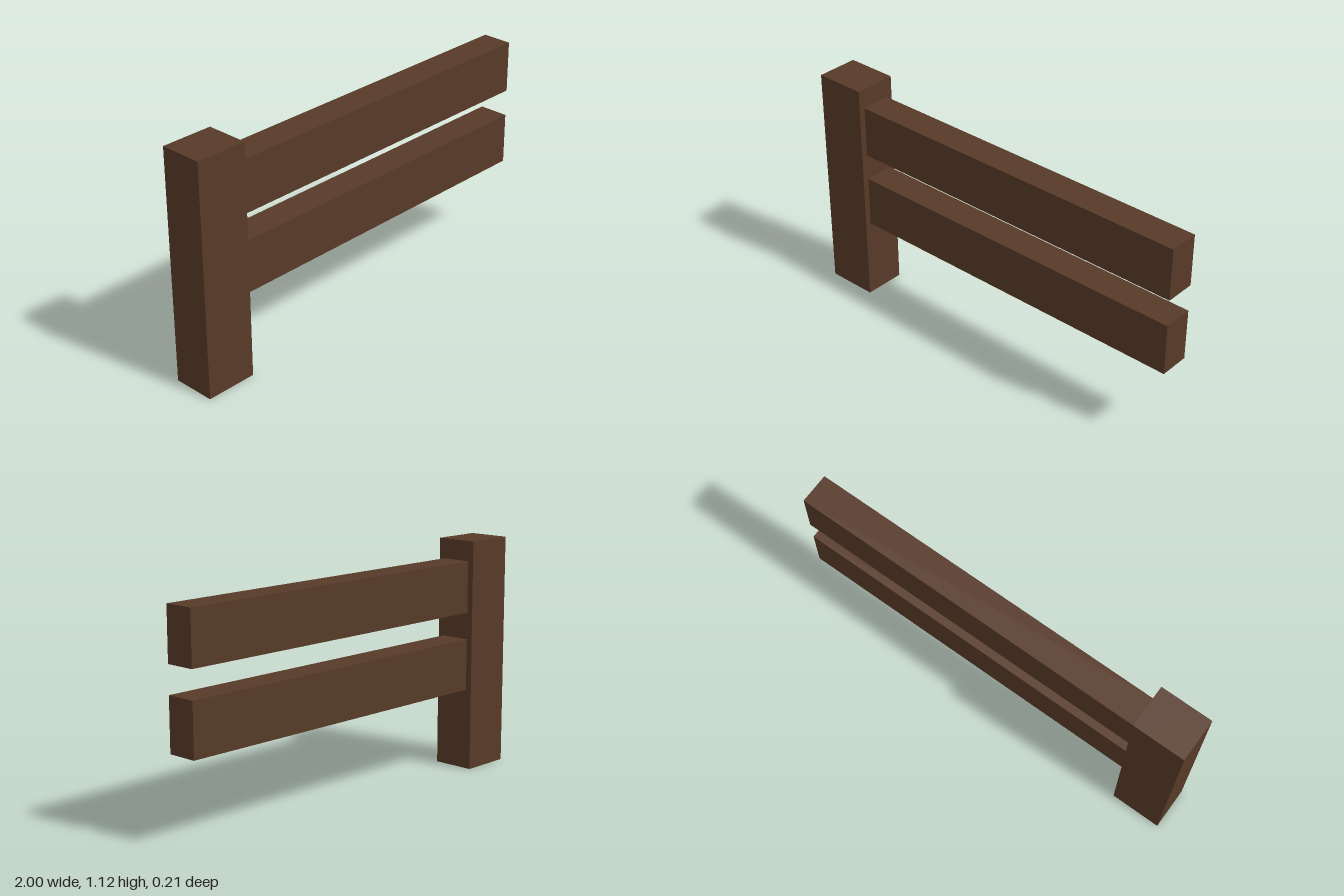
import * as THREE from 'three';

export function createModel() {
  const model = new THREE.Group();
  const wood = new THREE.MeshStandardMaterial({ color: 0x573a28, flatShading: true });

  // Box given by its x range, y range and depth
  function addBeam(name, x0, x1, y0, y1, depth) {
    const beam = new THREE.Mesh(new THREE.BoxGeometry(x1 - x0, y1 - y0, depth), wood);
    beam.name = name;
    beam.position.set((x0 + x1) / 2, (y0 + y1) / 2, 0);
    model.add(beam);
  }

  // Upright post at one end
  addBeam('post', -1, -0.75, 0, 1.122, 0.206);

  // Two rails butting against the post
  addBeam('lowerRail', -0.75, 1, 0.395, 0.645, 0.146);
  addBeam('upperRail', -0.75, 1, 0.775, 1.025, 0.146);

  return model;
}
